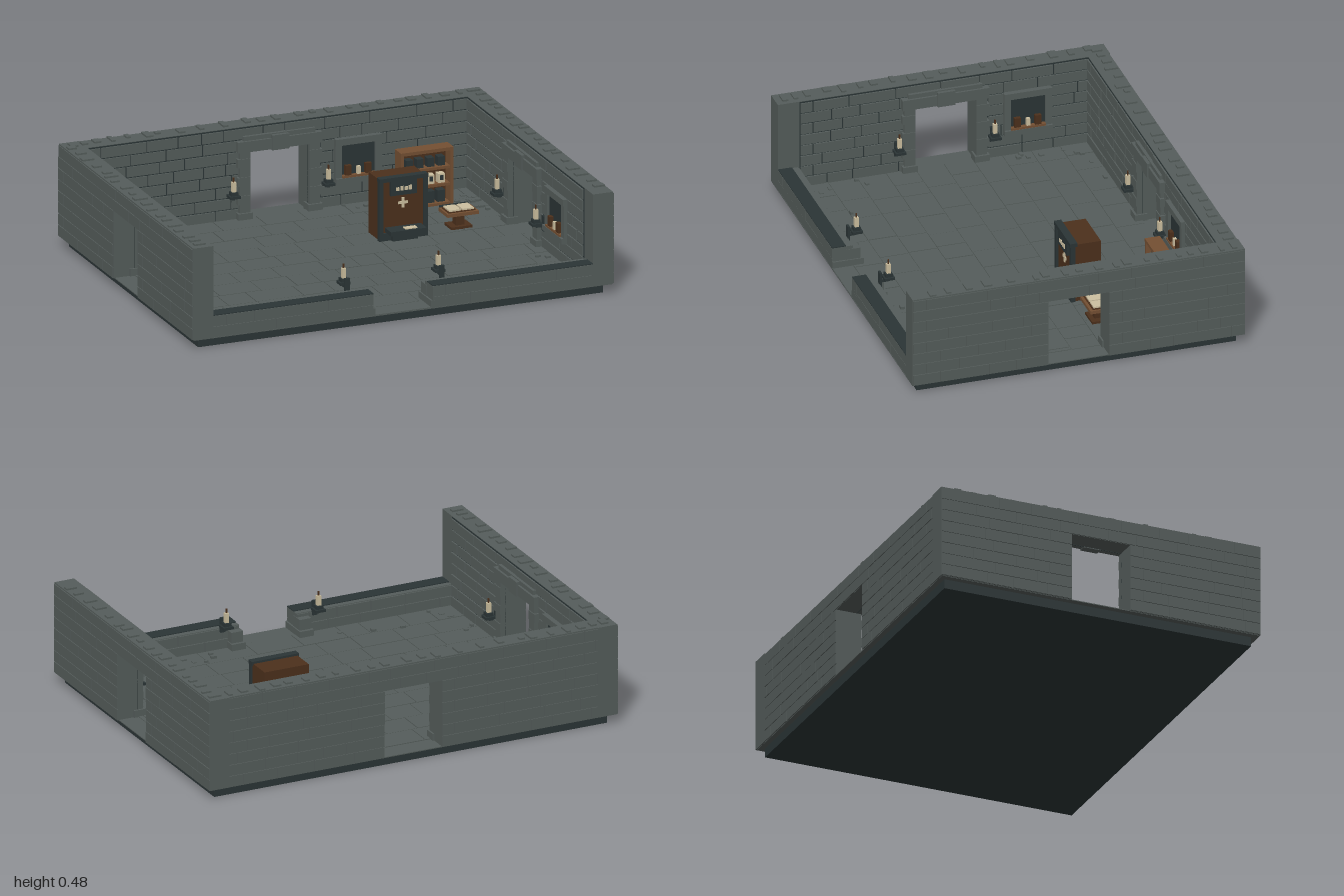
import * as THREE from 'three';
import { mergeGeometries } from 'three/addons/utils/BufferGeometryUtils.js';

const mat = (name, color) => Object.assign(new THREE.MeshStandardMaterial({ color }), { name });

export function createModel() {
  const model = new THREE.Group();
  model.name = 'stoneRoom';
  const stone = mat('stone', 0x555d5b), dark = mat('darkStone', 0x2b3536);
  const brown = mat('darkWood', 0x4c301c), wood = mat('wood', 0x745033), bone = mat('parchment', 0xcdc0a0);

  let seed = 7;
  const rnd = () => (seed = (seed * 16807) % 2147483647) / 2147483647;

  // box from its low and high corners
  const boxGeo = (x0, x1, y0, y1, z0, z1) =>
    new THREE.BoxGeometry(Math.abs(x1 - x0), y1 - y0, Math.abs(z1 - z0))
      .translate((x0 + x1) / 2, (y0 + y1) / 2, (z0 + z1) / 2);
  const add = (parent, name, material, geos) => {
    const mesh = new THREE.Mesh(Array.isArray(geos) ? mergeGeometries(geos) : geos, material);
    mesh.name = name;
    parent.add(mesh);
    return mesh;
  };
  const group = (name, x = 0, y = 0, z = 0, ry = 0) => {
    const g = new THREE.Group();
    g.name = name;
    g.position.set(x, y, z);
    g.rotation.y = ry;
    model.add(g);
    return g;
  };

  const Y0 = 0.045, TOP = 0.47, ROW = 0.0525, FLOOR = 0.05, DOOR = 0.14, HEAD = 0.36;

  // foundation
  add(model, 'foundation', dark, boxGeo(-0.96, 0.96, 0, Y0, -0.735, 0.735));
  add(model, 'floorBed', stone, boxGeo(-0.99, 0.99, Y0 - 0.002, 0.047, -0.76, 0.765));

  // flagstones in staggered rows
  const flags = [];
  for (let i = 0; i < 10; i++) {
    const z0 = -0.665 + i * 0.1335;
    for (let x = -0.9; x < 0.89;) {
      const x1 = Math.min(0.9, x + 0.1 + rnd() * 0.14);
      flags.push(boxGeo(x + 0.002, x1 - 0.002, 0.046, 0.0495 + rnd() * 0.002, z0 + 0.002, z0 + 0.1315));
      x = x1;
    }
  }
  flags.push(boxGeo(-DOOR, DOOR, 0.046, FLOOR, 0.67, 0.764));
  add(model, 'flagstones', stone, flags);

  // rubble gathered along the walls
  const rubble = [];
  for (let i = 0; i < 90; i++) {
    const a = rnd() * 2 - 1, d = rnd() * rnd() * 0.12, s = rnd() < 0.5 ? -1 : 1;
    const x = i % 2 ? a * 0.86 : s * (0.87 - d), z = i % 2 ? s * (0.64 - d) : a * 0.63;
    if (Math.abs(i % 2 ? x : z) < 0.3) continue;
    const w = 0.006 + rnd() * 0.009, l = 0.005 + rnd() * 0.006;
    rubble.push(boxGeo(x - w, x + w, 0.047, 0.054 + rnd() * 0.008, z - l, z + l));
  }
  add(model, 'rubble', stone, rubble);

  // courses of bricks on a plane, facing local +z, leaving the doorway free
  const bricks = (u0, u1, rows, gap, depth, door) => {
    const out = [];
    for (let r = 0; r < rows; r++) {
      const y = Y0 + r * ROW;
      const spans = door && y < HEAD - 0.01 ? [[u0, -DOOR], [DOOR, u1]] : [[u0, u1]];
      for (const [a, b] of spans) {
        for (let u = a, first = true; u < b - 0.001; first = false) {
          let v = u + (first && r % 2 ? 0.06 : 0.1 + rnd() * 0.13);
          if (b - v < 0.05) v = b;
          out.push(boxGeo(u + gap, v - gap, y + gap, Math.min(TOP, y + ROW) - gap, 0, depth * (0.7 + 0.3 * rnd())));
          u = v;
        }
      }
    }
    return out;
  };

  // full-height wall with a doorway: local +z looks into the room, inner face at z = 0
  const tallWall = (name, x, z, ry, half, innerHalf, thick) => {
    const g = group(name, x, 0, z, ry);
    const shell = (h, z0, z1) => [
      boxGeo(-h, -DOOR, Y0, TOP, z0, z1), boxGeo(DOOR, h, Y0, TOP, z0, z1), boxGeo(-DOOR, DOOR, HEAD, TOP, z0, z1)];
    add(g, 'wallCore', stone, shell(half, -thick + 0.005, 0));
    add(g, 'mortar', dark, shell(innerHalf, 0, 0.002).map((b) => b.translate(0, -0.002, 0)));
    add(g, 'innerBricks', stone, bricks(-innerHalf, innerHalf, 8, 0.003, 0.01, true));
    const outer = add(g, 'outerBricks', stone, bricks(-half, half, 8, 0.0015, 0.005, true));
    outer.rotation.y = Math.PI;
    outer.position.z = -thick + 0.005;
    // loose stones along the top
    const caps = [];
    for (let u = -half + 0.03; u < half - 0.05; u += 0.05 + rnd() * 0.06) {
      const w = 0.018 + rnd() * 0.02, d = 0.02 + rnd() * 0.03;
      caps.push(boxGeo(u, u + w, TOP - 0.004, TOP + 0.008, -thick + 0.008 + rnd() * 0.02, -thick + 0.03 + d));
    }
    add(g, 'topStones', stone, caps);
    // door surround
    const frame = [boxGeo(-0.2, 0.2, HEAD, 0.41, 0, 0.032), boxGeo(-0.17, 0.17, 0.41, 0.43, 0, 0.022),
      boxGeo(-0.04, 0.04, HEAD - 0.004, 0.425, 0, 0.038)];
    for (const s of [-1, 1]) {
      frame.push(boxGeo(s * DOOR, s * 0.19, Y0, HEAD, 0, 0.026));
      frame.push(boxGeo(s * 0.132, s * 0.2, Y0, 0.08, -0.02, 0.036));
      for (let k = 0; k < 3; k++) frame.push(boxGeo(s * DOOR, s * 0.2, 0.12 + k * 0.085, 0.16 + k * 0.085, 0, 0.03));
    }
    add(g, 'doorSurround', stone, frame);
    return g;
  };
  const back = tallWall('backWall', 0, -0.665, 0, 0.995, 0.9, 0.1);
  const left = tallWall('leftWall', 0.9, 0, -Math.PI / 2, 0.765, 0.665, 0.1);
  const right = tallWall('rightWall', -0.9, 0, Math.PI / 2, 0.765, 0.665, 0.1);

  // framed wall niche with a small shelf
  const niche = (wall, u) => {
    const g = new THREE.Group();
    g.name = 'niche';
    g.position.x = u;
    wall.add(g);
    add(g, 'nicheBack', dark, boxGeo(-0.085, 0.085, 0.18, 0.33, 0, 0.012));
    add(g, 'nicheFrame', stone, [boxGeo(-0.11, 0.11, 0.33, 0.36, 0, 0.028), boxGeo(-0.11, 0.11, 0.155, 0.18, 0, 0.035),
      boxGeo(-0.11, -0.08, 0.18, 0.33, 0, 0.024), boxGeo(0.08, 0.11, 0.18, 0.33, 0, 0.024)]);
    add(g, 'nicheShelf', wood, boxGeo(-0.08, 0.08, 0.18, 0.19, 0.01, 0.033));
    add(g, 'nicheJars', brown, [-0.05, 0.045].map((x) => boxGeo(x - 0.014, x + 0.014, 0.19, 0.235, 0.012, 0.03)));
    add(g, 'nicheCandle', bone, boxGeo(-0.008, 0.008, 0.19, 0.225, 0.013, 0.028));
  };
  niche(back, 0.375);
  niche(left, 0.38);
  niche(right, 0.38);

  // low front wall with dark coping and gate piers
  for (const s of [-1, 1]) {
    const g = group('frontWall');
    add(g, 'lowWall', stone, boxGeo(s * DOOR, s * 0.9, Y0, 0.146, 0.674, 0.76));
    add(g, 'coping', dark, boxGeo(s * DOOR, s * 0.9, 0.146, 0.15, 0.7, 0.764));
    const mid = s * 0.52;
    const outer = add(g, 'frontBricks', stone, bricks(-0.38, 0.38, 2, 0.001, 0.005).map((b) => b.scale(1, 0.96, 1)));
    outer.position.set(mid, 0.002, 0.76);
    const inner = add(g, 'innerBricks', stone, bricks(-0.38, 0.38, 2, 0.003, 0.008).map((b) => b.scale(1, 0.96, 1)));
    inner.rotation.y = Math.PI;
    inner.position.set(mid, 0.002, 0.674);
    add(g, 'gatePier', stone, [boxGeo(s * 0.138, s * 0.195, Y0, 0.13, 0.635, 0.7), boxGeo(s * 0.132, s * 0.2, Y0, 0.08, 0.62, 0.764)]);
  }

  // candle sconces, arm reaching back to the wall
  const sconce = (x, z, ry) => {
    const g = group('sconce', x, 0, z, ry);
    add(g, 'bracket', dark, [boxGeo(-0.012, 0.012, 0.13, 0.2, -0.043, -0.033), boxGeo(-0.006, 0.006, 0.15, 0.162, -0.04, 0),
      boxGeo(-0.024, 0.024, 0.162, 0.174, -0.024, 0.024), boxGeo(-0.016, 0.016, 0.174, 0.19, -0.016, 0.016)]);
    add(g, 'candle', bone, boxGeo(-0.009, 0.009, 0.19, 0.235, -0.009, 0.009));
    add(g, 'wick', brown, boxGeo(-0.003, 0.003, 0.235, 0.255, -0.003, 0.003));
  };
  for (const s of [-1, 1]) {
    sconce(s * 0.225, -0.625, 0);
    sconce(s * 0.225, 0.625, Math.PI);
    sconce(0.855, s * 0.22, -Math.PI / 2);
    sconce(-0.855, s * 0.22, Math.PI / 2);
  }

  // shrine cabinet
  const cab = group('cabinet', 0.375, 0, -0.14);
  add(cab, 'cabinetBody', brown, boxGeo(-0.108, 0.108, FLOOR, 0.33, -0.13, 0));
  add(cab, 'cabinetFrame', dark, [boxGeo(-0.115, 0.115, 0.322, 0.34, -0.02, 0.014), boxGeo(-0.115, -0.095, FLOOR, 0.322, -0.01, 0.01),
    boxGeo(0.095, 0.115, FLOOR, 0.322, -0.01, 0.01), boxGeo(-0.095, 0.095, FLOOR, 0.085, -0.01, 0.01),
    boxGeo(-0.062, 0.062, 0.255, 0.322, 0, 0.012)]);
  add(cab, 'shelf', dark, [boxGeo(-0.085, 0.085, 0.09, 0.11, 0, 0.07), boxGeo(-0.06, 0.06, FLOOR, 0.09, 0, 0.03)]);
  add(cab, 'shelfPaper', bone, boxGeo(-0.012, 0.045, 0.11, 0.114, 0.03, 0.06));
  add(cab, 'tokens', bone, [-0.03, -0.01, 0.01, 0.03].map((x, i) =>
    boxGeo(x - 0.007, x + 0.007, 0.277, 0.293 + (i % 2) * 0.004, 0.012, 0.016)));
  add(cab, 'cross', bone, [boxGeo(-0.006, 0.006, 0.193, 0.24, 0, 0.005), boxGeo(-0.022, 0.022, 0.211, 0.223, 0, 0.0045)]);

  // bookcase
  const shelf = group('bookcase', 0.627, 0, -0.5);
  add(shelf, 'caseBack', brown, boxGeo(-0.12, 0.12, FLOOR, 0.31, -0.033, -0.022));
  add(shelf, 'caseFrame', wood, [boxGeo(-0.125, 0.125, 0.305, 0.32, -0.035, 0.035), boxGeo(-0.125, -0.11, FLOOR, 0.305, -0.035, 0.033),
    boxGeo(0.11, 0.125, FLOOR, 0.305, -0.035, 0.033),
    ...[0.055, 0.143, 0.222].map((y) => boxGeo(-0.11, 0.11, y, y + 0.012, -0.035, 0.03))]);
  const books = [[], []], jars = [];
  for (let i = 0; i < 4; i++) {
    const x = -0.075 + i * 0.05;
    books[0].push(boxGeo(x - 0.016, x + 0.016, 0.234, 0.275, -0.022, 0.015));
    books[1].push(boxGeo(x - 0.018, x + 0.018, 0.067, 0.12, -0.022, 0.015));
    jars.push(boxGeo(x - 0.016, x + 0.016, 0.155, 0.197, -0.015, 0.018));
  }
  add(shelf, 'books', dark, books.flat());
  add(shelf, 'jars', bone, jars);
  add(shelf, 'jarLabels', dark, jars.map((b) => b.clone().scale(1, 1, 1)).map((b, i) => {
    const x = -0.075 + i * 0.05;
    return boxGeo(x - 0.008, x + 0.008, 0.168, 0.19, 0.018, 0.021);
  }));

  // reading desk with an open book
  const desk = group('readingDesk', 0.662, 0, -0.195);
  add(desk, 'deskTop', wood, boxGeo(-0.074, 0.074, 0.115, 0.13, -0.05, 0.055));
  add(desk, 'deskStand', brown, [boxGeo(-0.02, 0.02, FLOOR, 0.115, -0.02, 0.02), boxGeo(-0.05, 0.05, FLOOR, 0.062, -0.04, 0.04)]);
  add(desk, 'deskLip', dark, boxGeo(-0.068, 0.068, 0.115, 0.138, -0.058, -0.05));
  add(desk, 'bookCover', brown, boxGeo(-0.064, 0.064, 0.13, 0.134, -0.04, 0.042));
  add(desk, 'pages', bone, [-1, 1].map((s) => boxGeo(s * 0.004, s * 0.058, 0.134, 0.141, -0.035, 0.036)));

  return model;
}
